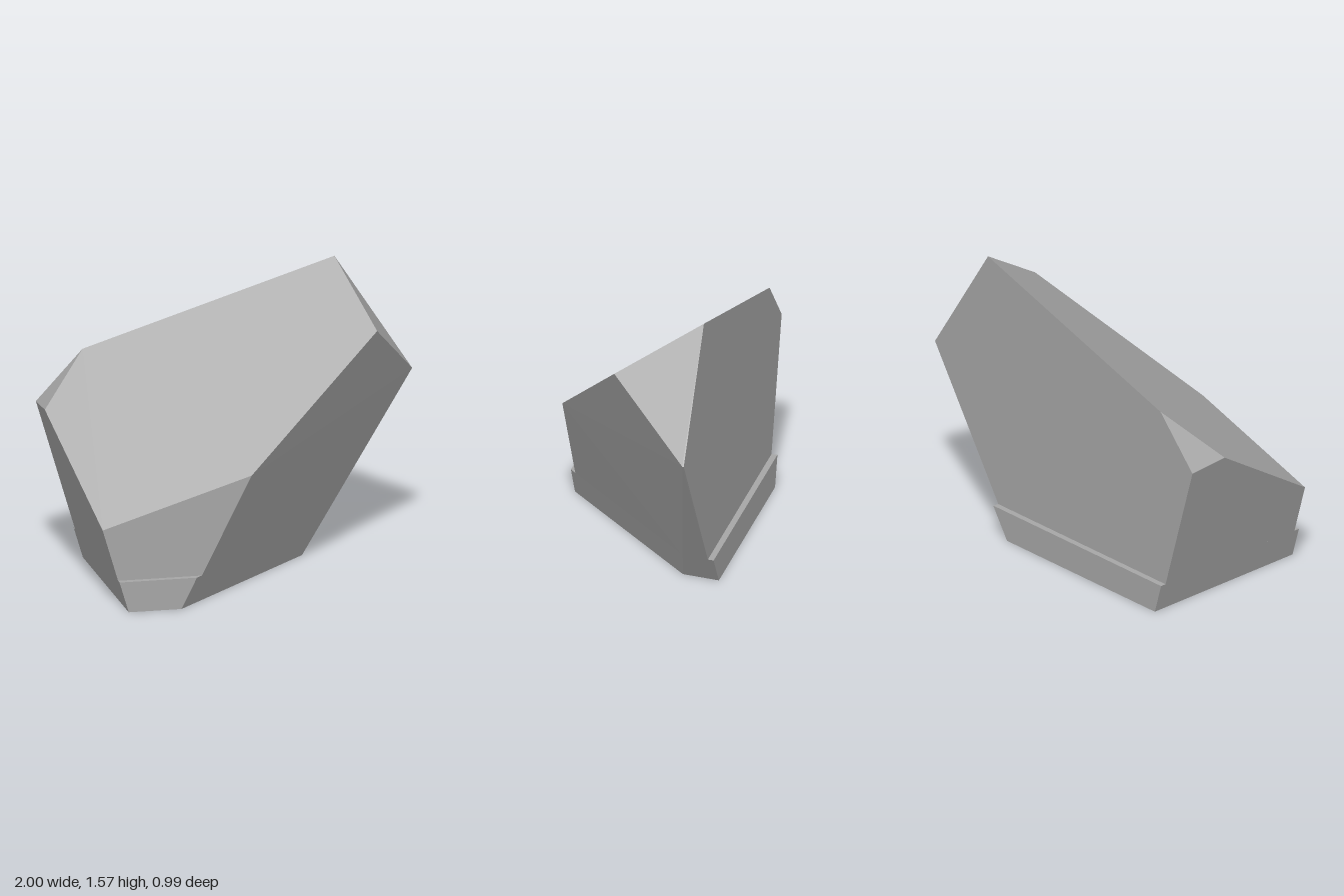
import * as THREE from 'three';
import { ConvexGeometry } from 'three/addons/geometries/ConvexGeometry.js';

const stone = new THREE.MeshStandardMaterial({ color: 0xa6a6a6 });
stone.name = 'grey stone';

// Faceted solid spanned by its corner points
function facetedBlock(name, corners) {
  const points = corners.map((c) => new THREE.Vector3(...c));
  const mesh = new THREE.Mesh(new ConvexGeometry(points), stone);
  mesh.name = name;
  return mesh;
}

export function createModel() {
  const group = new THREE.Group();
  group.name = 'boulder';
  const seam = 0.165;   // height of the base step
  const bodyZ = 0.465;  // half depth of the body
  const baseZ = 0.497;  // half depth of the base

  // Main boulder with sloping top and undercut side
  group.add(facetedBlock('boulderBody', [
    // top slope
    [-0.752, 1.146, -bodyZ], [0.588, 1.566, -bodyZ], [0.72, 1.283, -0.017],
    [-0.05, 0.692, bodyZ], [-0.843, 0.444, bodyZ], [-1, 0.898, -0.24],
    // back corners of the two ends
    [-1, 0.877, -bodyZ], [1, 0.931, -0.457], [1, 0.931, -bodyZ],
    // seam with the base
    [-0.761, seam, bodyZ], [-0.791, seam, -bodyZ],
    [-0.315, seam, bodyZ], [0.49, seam, -0.325], [0.508, seam, -bodyZ],
  ]));

  // Slightly deeper base
  group.add(facetedBlock('boulderBase', [
    [-0.76, seam, baseZ], [-0.792, seam, -baseZ],
    [-0.348, seam, baseZ], [0.49, seam, -0.325], [0.512, seam, -baseZ],
    [-0.711, 0, baseZ], [-0.743, 0, -baseZ],
    [-0.43, 0, baseZ], [0.38, 0, -0.297], [0.405, 0, -baseZ],
  ]));

  return group;
}
